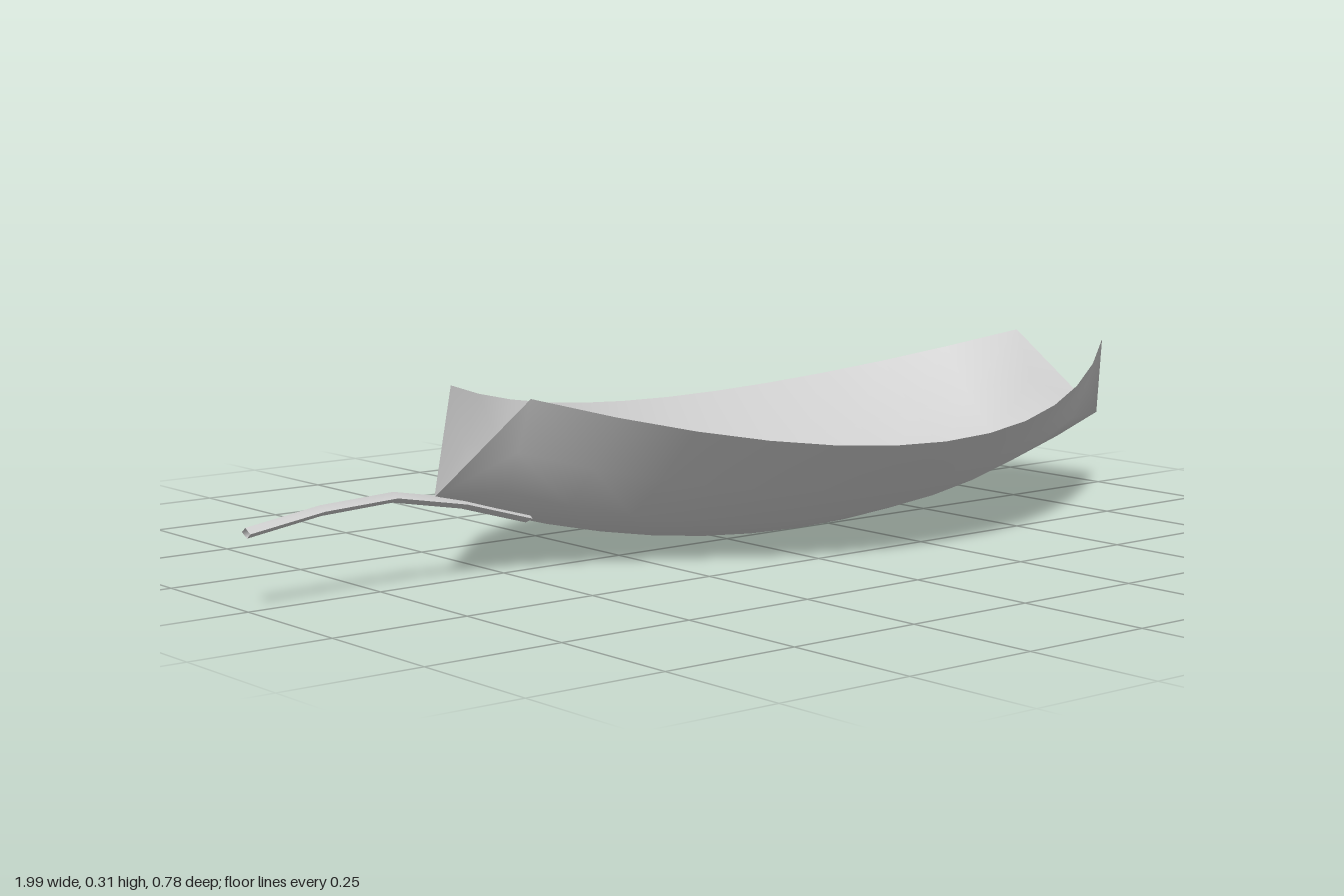
import * as THREE from 'three';
import { mergeVertices } from 'three/addons/utils/BufferGeometryUtils.js';

const LENGTH = 1.63, CENTRE_X = 0.175, HALF_WIDTH = 0.388, EDGE_RISE = 0.207;

// Height of the curved midrib for u from -1 (stem end) to 1 (tip)
const midrib = (u) => 0.146 * u * u;

// Cupped blade: a flat sheet narrowed to two points and folded up along the midrib
function bladeGeometry() {
  const sheet = new THREE.PlaneGeometry(2, 2, 14, 6).rotateX(-Math.PI / 2);
  const p = sheet.attributes.position;
  for (let i = 0; i < p.count; i++) {
    const u = p.getX(i), v = p.getZ(i);
    const atEnd = Math.abs(u) > 0.999;
    const width = atEnd ? 0 : HALF_WIDTH * Math.pow(Math.cos((u * Math.PI) / 2), 0.8);
    const rise = atEnd ? 0 : EDGE_RISE * Math.pow(Math.abs(v), 1.5);
    p.setXYZ(i, CENTRE_X + (u * LENGTH) / 2, midrib(u) + rise, v * width);
  }
  // Weld the points so the shading stays smooth up to each end
  sheet.deleteAttribute('uv');
  sheet.deleteAttribute('normal');
  const welded = mergeVertices(sheet, 1e-5);
  welded.computeVertexNormals();
  return welded;
}

// Thin four-sided stem, widening slightly where it runs onto the blade
function stemGeometry() {
  const path = new THREE.CatmullRomCurve3([
    [-1, 0.128], [-0.87, 0.148], [-0.74, 0.157], [-0.6, 0.134], [-0.45, 0.091],
  ].map(([x, y]) => new THREE.Vector3(x, y, 0)));
  const stem = new THREE.TubeGeometry(path, 4, 0.009, 4, false);
  const p = stem.attributes.position;
  for (let i = 0; i < p.count; i++) {
    p.setZ(i, p.getZ(i) * (1.45 + 0.9 * (p.getX(i) + 1)));
  }
  stem.computeVertexNormals();
  return stem;
}

export function createModel() {
  const leafGrey = new THREE.MeshStandardMaterial({ color: 0xcccccc, side: THREE.DoubleSide });
  leafGrey.name = 'leafGrey';

  const leaf = new THREE.Group();
  leaf.name = 'leaf';

  const blade = new THREE.Mesh(bladeGeometry(), leafGrey);
  blade.name = 'blade';
  const stem = new THREE.Mesh(stemGeometry(), leafGrey);
  stem.name = 'stem';

  leaf.add(blade, stem);
  return leaf;
}
